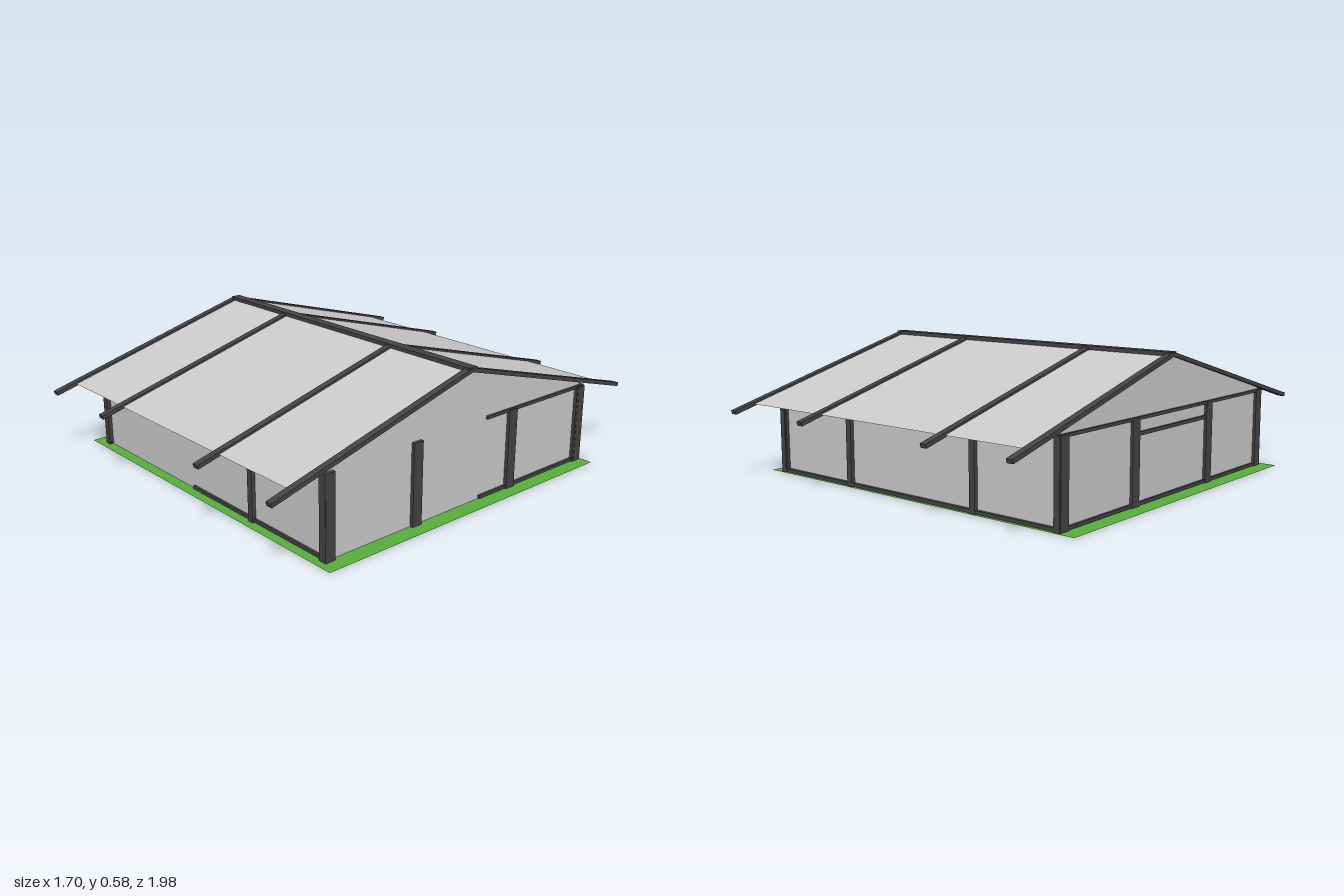
import * as THREE from 'three';

const grey = new THREE.MeshStandardMaterial({ color: 0xcccccc, side: THREE.DoubleSide });
const dark = new THREE.MeshStandardMaterial({ color: 0x444444 });
const green = new THREE.MeshStandardMaterial({ color: 0x57b03c, side: THREE.DoubleSide });

const RIDGE = 0.575, SLOPE = 0.277;
const roofY = z => RIDGE - SLOPE * Math.abs(z);
const FRONT = 0.735, BACK = -0.725, LEFT = 0.775, RIGHT = -0.77;
const POST_H = 0.35;

export function createModel() {
  const model = new THREE.Group();

  const add = (name, geometry, material, x = 0, y = 0, z = 0) => {
    const mesh = new THREE.Mesh(geometry, material);
    mesh.name = name;
    mesh.position.set(x, y, z);
    model.add(mesh);
    return mesh;
  };
  // box given by its extents
  const box = (name, x0, x1, y0, y1, z0, z1) =>
    add(name, new THREE.BoxGeometry(x1 - x0, y1 - y0, z1 - z0), dark,
      (x0 + x1) / 2, (y0 + y1) / 2, (z0 + z1) / 2);
  // box stretched between two points
  const bar = (name, a, b, width, height) => {
    const mesh = add(name, new THREE.BoxGeometry(width, height, a.distanceTo(b)), dark);
    mesh.position.copy(a).add(b).multiplyScalar(0.5);
    mesh.lookAt(b);
  };

  // ground
  add('ground', new THREE.PlaneGeometry(1.7, 1.535).rotateX(-Math.PI / 2), green, 0, 0.001, 0.0175);

  // long walls
  for (const [name, z] of [['frontWall', FRONT], ['backWall', BACK]]) {
    const h = roofY(z);
    add(name, new THREE.PlaneGeometry(LEFT - RIGHT, h), grey, (LEFT + RIGHT) / 2, h / 2, z);
  }

  // gable walls; the shape's x runs along -z
  const gable = new THREE.Shape([
    [-FRONT, 0], [-BACK, 0], [-BACK, roofY(BACK)], [0, RIDGE], [-FRONT, roofY(FRONT)],
  ].map(p => new THREE.Vector2(...p)));
  for (const [name, x] of [['leftGable', LEFT], ['rightGable', RIGHT]]) {
    add(name, new THREE.ShapeGeometry(gable).rotateY(Math.PI / 2), grey, x);
  }

  // roof slopes
  const run = 0.895;
  for (const s of [1, -1]) {
    const slope = new THREE.PlaneGeometry(1.55, Math.hypot(run, SLOPE * run));
    slope.rotateX(s * (-Math.PI / 2 + Math.atan(SLOPE)));
    add(s > 0 ? 'frontRoof' : 'backRoof', slope, grey, 0.005, roofY(run / 2), s * run / 2);
  }

  // rafters and ridge beam
  const frames = [-0.765, -0.36, 0.337, 0.777];
  for (const x of frames) {
    for (const s of [1, -1]) {
      bar('rafter', new THREE.Vector3(x, RIDGE, 0),
        new THREE.Vector3(x - s * 0.004, roofY(0.99), s * 0.99), 0.03, 0.017);
    }
  }
  box('ridgeBeam', -0.775, 0.79, 0.568, 0.585, -0.025, 0.02);

  // posts along the long walls
  for (const x of frames) {
    box('frontPost', x - 0.014, x + 0.014, 0, POST_H, 0.71, x < 0 ? FRONT - 0.003 : 0.752);
    box('backPost', x - 0.014, x + 0.014, 0, POST_H, -0.742, -0.7);
  }

  // posts along the gables
  for (const z of [0.73, 0.287, -0.265, -0.715]) {
    box('leftPost', 0.755, 0.79, 0, POST_H, z - 0.024, z + 0.024);
    box('rightPost', -0.782, -0.752, 0, POST_H, z - 0.024, z + 0.024);
  }

  // sills and wall plates
  box('frontSill', -0.07, 0.79, 0.003, 0.017, 0.715, 0.745);
  box('backSill', -0.78, 0.785, 0.003, 0.017, -0.74, -0.71);
  box('backPlate', -0.78, 0.785, 0.342, 0.355, -0.74, -0.71);
  box('leftSill', 0.755, 0.785, 0.003, 0.017, -0.735, -0.08);
  box('leftPlate', 0.755, 0.785, 0.342, 0.355, -0.735, -0.11);
  box('rightSill', -0.78, -0.75, 0.003, 0.017, -0.735, 0.745);
  box('rightPlate', -0.78, -0.75, 0.342, 0.355, -0.735, 0.745);
  box('doorLintel', -0.78, -0.755, 0.28, 0.295, -0.265, 0.287);

  return model;
}
